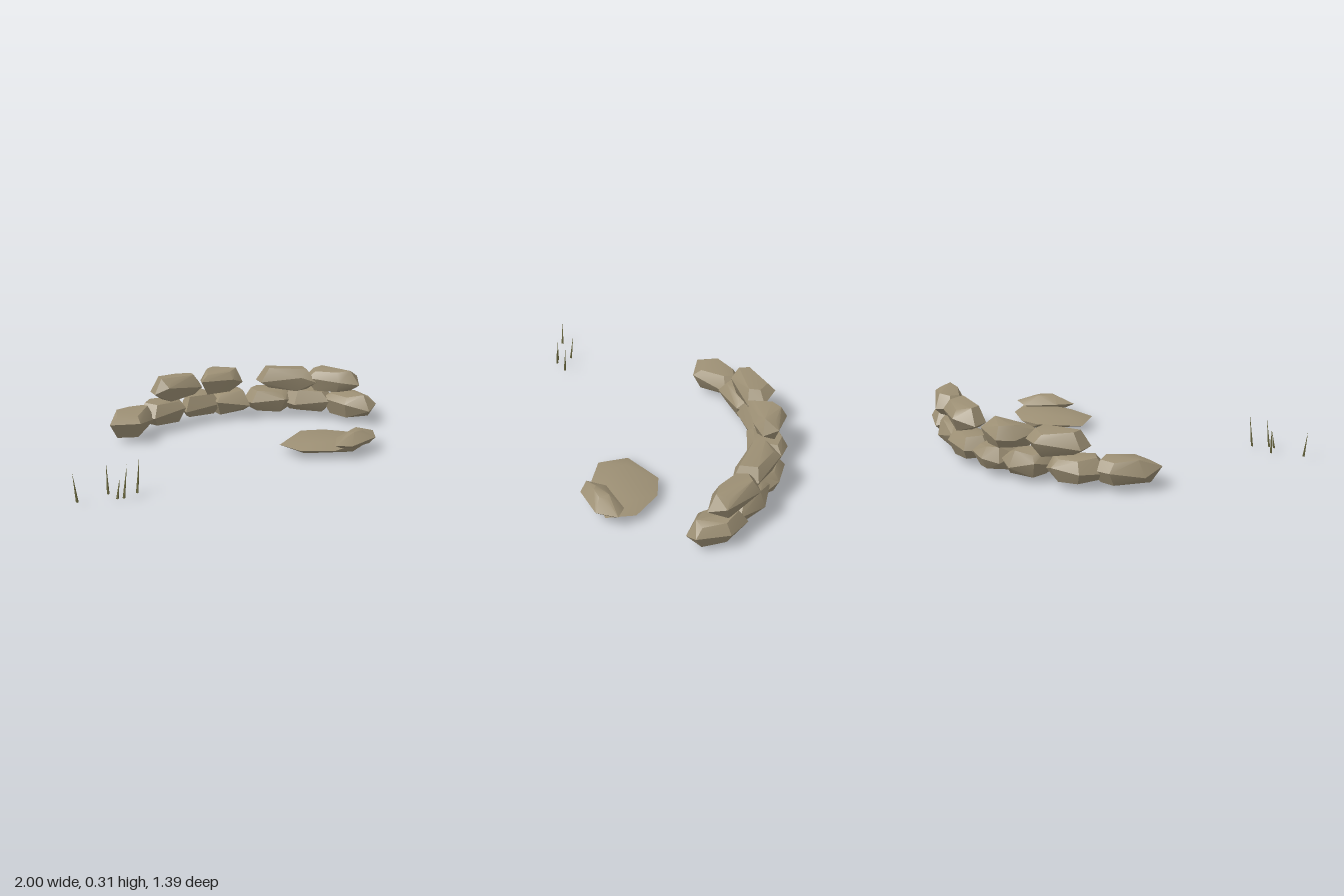
import * as THREE from 'three';
import { ConvexGeometry } from 'three/addons/geometries/ConvexGeometry.js';
import { toCreasedNormals } from 'three/addons/utils/BufferGeometryUtils.js';

const stoneMat = new THREE.MeshStandardMaterial({ name: 'sandy stone', color: 0x9c8f74 });
const grassMat = new THREE.MeshStandardMaterial({ name: 'dry grass', color: 0x6b6840, side: THREE.DoubleSide });

// Chipped stone: a wide belt following the plan outline, with smaller top and bottom rings.
function stone(name, outline, { low, high, belt = (low + high) / 2, top = 0.68, bottom = 0.7, wobble = 0.02, extra = [] }) {
  const n = outline.length;
  const cx = outline.reduce((s, p) => s + p[0], 0) / n;
  const cz = outline.reduce((s, p) => s + p[1], 0) / n;
  const points = extra.map((p) => new THREE.Vector3(...p));
  outline.forEach(([x, z], i) => {
    const ring = (scale, y) => points.push(new THREE.Vector3(cx + (x - cx) * scale, y, cz + (z - cz) * scale));
    const wave = Math.sin(i * 2.4 + cx * 9);
    ring(1, belt + wobble * wave);
    ring(top, high - wobble * 0.5 * (1 + wave));
    ring(bottom, low + wobble * 0.5 * (1 - wave));
  });
  const mesh = new THREE.Mesh(toCreasedNormals(new ConvexGeometry(points), 0.5), stoneMat);
  mesh.name = name;
  return mesh;
}

// Grass blade: a slim three-sided spike leaning towards its tip.
function blade([x, z, tipX, tipZ, tipY]) {
  const base = 0.015, h = tipY - base;
  const geo = new THREE.ConeGeometry(0.008, h, 3).translate(0, h / 2, 0);
  const pos = geo.attributes.position;
  for (let i = 0; i < pos.count; i++) {
    const t = pos.getY(i) / h;
    pos.setX(i, pos.getX(i) + (tipX - x) * t);
    pos.setZ(i, pos.getZ(i) + (tipZ - z) * t);
  }
  geo.computeVertexNormals();
  const mesh = new THREE.Mesh(geo, grassMat);
  mesh.position.set(x, base, z);
  mesh.name = 'grassBlade';
  return mesh;
}

export function createModel() {
  const model = new THREE.Group();
  model.name = 'stoneRuin';

  // Lower course of the curved wall, from right to left, as [x, z] outlines
  const lower = new THREE.Group();
  lower.name = 'lowerCourse';
  [
    [[-.635, -.19], [-.615, -.31], [-.48, -.44], [-.36, -.45], [-.335, -.36], [-.465, -.165]],
    [[-.435, -.4], [-.36, -.54], [-.2, -.58], [-.12, -.53], [-.13, -.42], [-.345, -.315]],
    [[-.14, -.5], [-.1, -.6], [.03, -.66], [.1, -.64], [.11, -.5], [-.13, -.42]],
    [[.06, -.56], [.1, -.66], [.2, -.695], [.31, -.655], [.29, -.47], [.08, -.47]],
    [[.27, -.57], [.36, -.67], [.53, -.63], [.62, -.52], [.5, -.42], [.3, -.47]],
    [[.5, -.48], [.55, -.58], [.7, -.55], [.82, -.42], [.75, -.33], [.55, -.4]],
    [[.72, -.38], [.82, -.46], [.95, -.37], [1, -.19], [.935, -.14], [.8, -.2]],
  ].forEach((o) => lower.add(stone('lowerStone', o, { low: 0.035, high: 0.18 })));

  // Upper course, with a gap in the middle
  const upper = new THREE.Group();
  upper.name = 'upperCourse';
  [
    [[-.33, -.49], [-.13, -.635], [-.01, -.57], [-.015, -.475], [-.24, -.385], [-.325, -.4]],
    [[-.02, -.47], [.015, -.62], [.09, -.69], [.26, -.635], [.265, -.55], [.19, -.5]],
    [[.36, -.58], [.48, -.635], [.69, -.51], [.68, -.37], [.59, -.39], [.365, -.49]],
    [[.635, -.4], [.65, -.49], [.745, -.52], [.935, -.345], [.91, -.245], [.79, -.27]],
  ].forEach((o) => upper.add(stone('upperStone', o, { low: 0.17, high: 0.312 })));

  // Fallen slab with a small rock on it
  const slab = stone('slab',
    [[.25, .19], [.44, .015], [.58, .015], [.74, .12], [.78, .28], [.51, .385], [.31, .35]],
    { low: 0.025, high: 0.08, belt: 0.055, top: 0.6, bottom: 0.8, wobble: 0.008, extra: [[.65, 0, .29], [.5, .03, .02]] });
  const rock = stone('smallRock',
    [[.5, .4], [.55, .29], [.715, .185], [.805, .21], [.77, .33], [.59, .425]],
    { low: 0.05, high: 0.135, belt: 0.085, top: 0.35, wobble: 0.008 });

  // Sparse grass tuft: base x, base z, tip x, tip z, tip height
  const grass = new THREE.Group();
  grass.name = 'grassTuft';
  [
    [-.975, .675, -.995, .67, .17],
    [-.806, .605, -.81, .585, .18],
    [-.775, .685, -.76, .675, .12],
    [-.742, .685, -.722, .675, .19],
    [-.662, .63, -.645, .615, .215],
  ].forEach((b) => grass.add(blade(b)));

  model.add(lower, upper, slab, rock, grass);
  return model;
}
